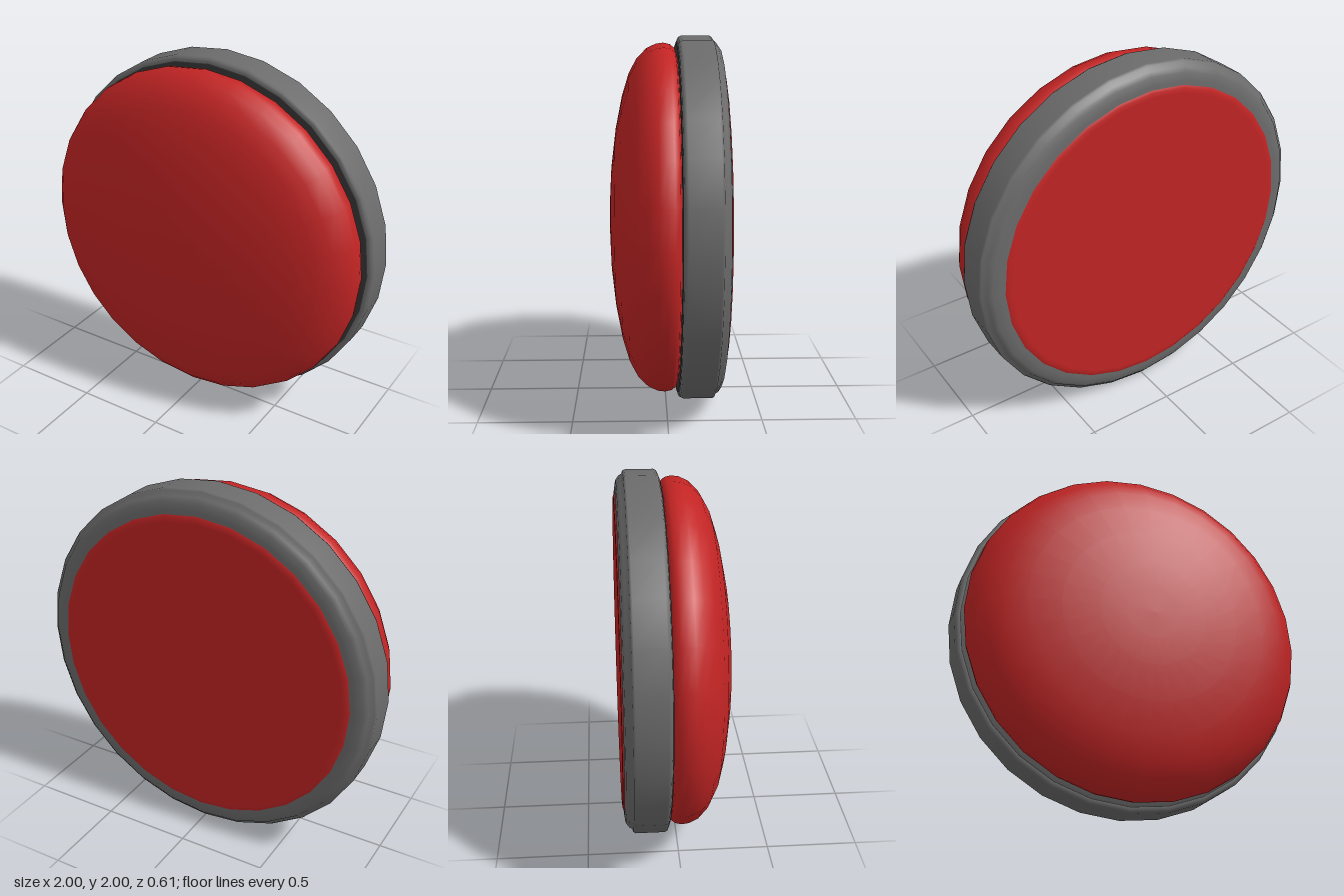
import * as THREE from 'three';

const SIDES = 28;

export function createModel() {
  const red = new THREE.MeshStandardMaterial({ color: 0xc22424 });
  red.name = 'red';
  const grey = new THREE.MeshStandardMaterial({ color: 0x6b6b6b });
  grey.name = 'grey';
  const dark = new THREE.MeshStandardMaterial({ color: 0x383636 });
  dark.name = 'dark grey';

  const group = new THREE.Group();
  group.name = 'roundButton';

  // Turns a smooth [radius, z] profile, listed from back to front, about the z axis
  function turned(name, profile, material) {
    const points = profile.map(([r, z]) => new THREE.Vector2(r, z));
    const geometry = new THREE.LatheGeometry(points, SIDES);
    geometry.rotateX(Math.PI / 2);
    const mesh = new THREE.Mesh(geometry, material);
    mesh.name = name;
    mesh.position.y = 1;
    group.add(mesh);
  }

  // Domed front cushion with a rounded edge
  turned('frontDome', [
    [0.9, -0.06], [0.935, -0.05], [0.955, -0.025], [0.963, 0.01], [0.958, 0.05],
    [0.935, 0.1], [0.88, 0.155], [0.8, 0.198], [0.68, 0.235], [0.5, 0.271],
    [0.3, 0.295], [0.15, 0.303], [0, 0.305],
  ], red);

  // Grey rim with a stepped, rounded back edge
  turned('rim', [
    [0.84, -0.296], [0.9, -0.296], [0.945, -0.289], [0.968, -0.272], [0.977, -0.256],
    [0.992, -0.252], [1, -0.24], [1, -0.085], [0.993, -0.07], [0.978, -0.063],
    [0.955, -0.062], [0.88, -0.062],
  ], grey);

  // Dark seam between the dome and the rim
  turned('seam', [[0.971, -0.063], [0.966, -0.058], [0.88, -0.058]], dark);

  // Flat back panel with a softened edge
  turned('backPanel', [
    [0, -0.305], [0.5, -0.305], [0.84, -0.305], [0.865, -0.303], [0.88, -0.295],
  ], red);

  return group;
}
